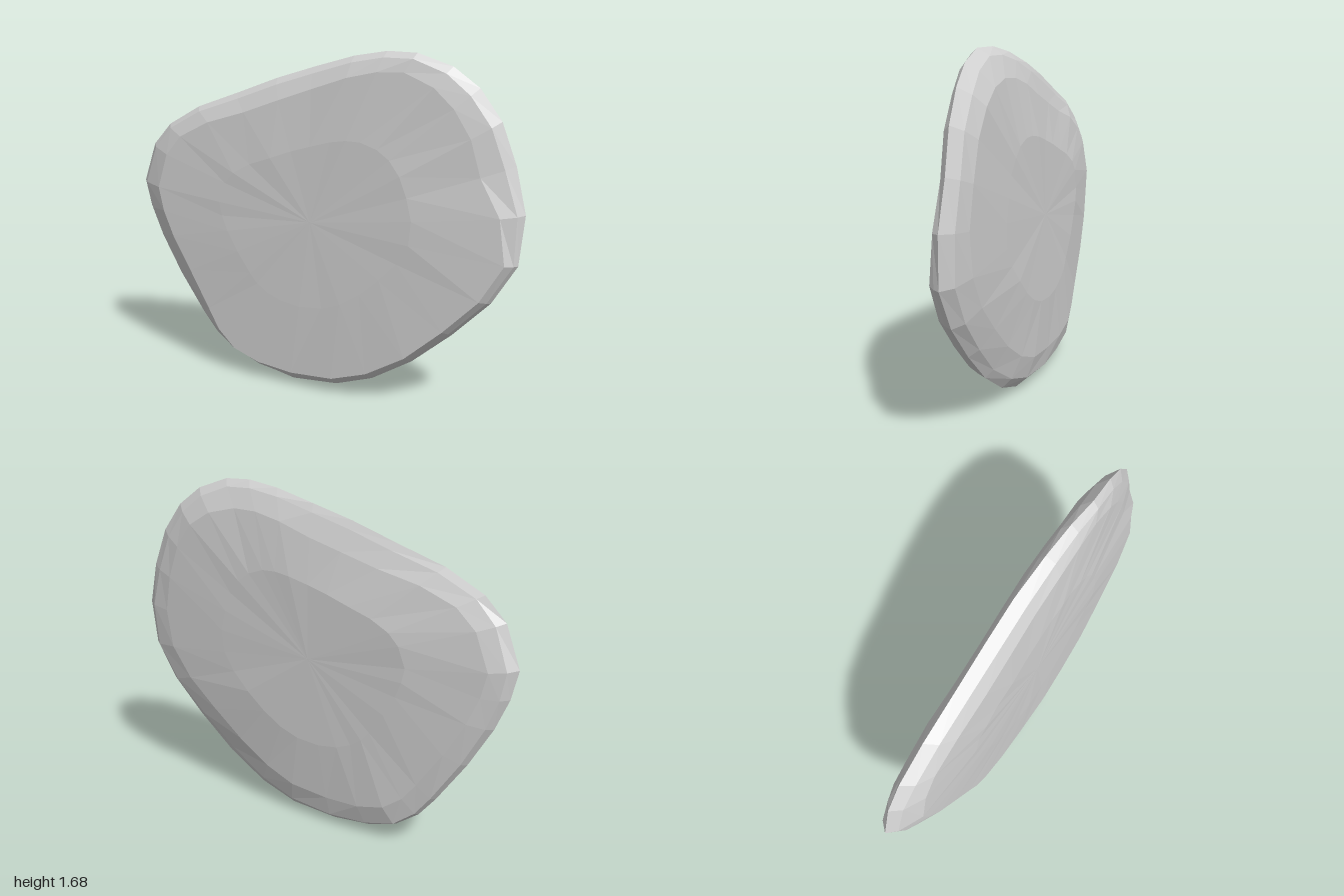
import * as THREE from 'three';

// Outline of the slab's rim, counter-clockwise from the bottom
const outline = [
  [-0.12, 0], [0.12, 0.02], [0.31, 0.09], [0.51, 0.22], [0.7, 0.39], [0.87, 0.57], [0.98, 0.76],
  [1, 0.99], [0.95, 1.2], [0.88, 1.39], [0.78, 1.53], [0.66, 1.62], [0.5, 1.675], [0.36, 1.68],
  [0.2, 1.655], [0, 1.6], [-0.2, 1.54], [-0.42, 1.46], [-0.65, 1.38], [-0.83, 1.28], [-0.93, 1.17],
  [-1, 0.97], [-0.97, 0.83], [-0.91, 0.68], [-0.8, 0.48], [-0.66, 0.27], [-0.58, 0.17],
  [-0.47, 0.09], [-0.32, 0.03],
];
const n = outline.length;
const centre = [0, 0.87];
const slope = 0.243; // the slab is turned, so its right side comes forward

// Edge profiles around the rim. at: outline point; then inset and depth pairs
// for two back bevels, the rim itself and two front bevels
const profiles = [
  { at: 0, p: [0.15, -0.1, 0.05, -0.075, 0, -0.01, 0.03, 0.04, 0.07, 0.085] },
  { at: 3, p: [0.15, -0.07, 0.04, -0.03, 0, 0, 0.02, 0.04, 0.05, 0.085] },
  { at: 6, p: [0.15, -0.075, 0.04, -0.05, 0, 0, 0.02, 0.03, 0.06, 0.065] },
  { at: 8, p: [0.13, -0.08, 0.05, -0.06, 0, -0.02, 0.05, 0.02, 0.16, 0.05] },
  { at: 10, p: [0.13, -0.08, 0.05, -0.05, 0, 0, 0.05, 0.035, 0.14, 0.06] },
  { at: 12, p: [0.15, -0.065, 0.04, -0.02, 0, 0.025, 0.03, 0.055, 0.1, 0.075] },
  { at: 15, p: [0.15, -0.075, 0.04, -0.04, 0, -0.02, 0.03, 0.04, 0.1, 0.075] },
  { at: 19, p: [0.13, -0.075, 0.04, -0.04, 0, -0.02, 0.03, 0.035, 0.11, 0.075] },
  { at: 21, p: [0.13, -0.085, 0.05, -0.06, 0, -0.015, 0.03, 0.03, 0.13, 0.08] },
  { at: 24, p: [0.12, -0.1, 0.03, -0.07, 0, -0.03, 0.03, 0.03, 0.12, 0.085] },
  { at: 27, p: [0.12, -0.115, 0.02, -0.09, 0, -0.05, 0.03, 0.02, 0.06, 0.085] },
];

// Blend the two profiles on either side of outline point i
function profileAt(i) {
  let k = profiles.length - 1;
  while (profiles[k].at > i) k--;
  const from = profiles[k];
  const to = profiles[(k + 1) % profiles.length];
  const span = (to.at - from.at + n) % n;
  const t = (i - from.at) / span;
  return from.p.map((v, q) => v + (to.p[q] - v) * t);
}

function seeded(seed) {
  return () => {
    seed = (seed * 16807) % 2147483647;
    return seed / 2147483647 - 0.5;
  };
}

function stoneGeometry() {
  const rand = seeded(77);
  const ringCount = 7; // back core, five edge rings, front core
  const positions = [];
  const index = [];

  for (let ring = 0; ring < ringCount; ring++) {
    const core = ring === 0 || ring === ringCount - 1;
    outline.forEach(([x, y], i) => {
      const dx = x - centre[0];
      const dy = y - centre[1];
      const p = profileAt(i);
      const s = core ? 0.5 : 1 - p[(ring - 1) * 2] / Math.hypot(dx, dy);
      const px = centre[0] + dx * s;
      let z = p[ring * 2 - 1];
      if (ring === 0) z = -0.112 + 0.03 * px;
      if (ring === ringCount - 1) z = 0.098;
      const rough = ring === 3 ? 0 : 0.005;
      positions.push(px, centre[1] + dy * s, px * slope + z + rand() * rough);
    });
  }

  // Bands between neighbouring rings
  for (let k = 0; k < ringCount - 1; k++) {
    for (let i = 0; i < n; i++) {
      const j = (i + 1) % n;
      const a = k * n + i, b = k * n + j, c = b + n, d = a + n;
      index.push(a, b, c, a, c, d);
    }
  }

  // Middle of the broad back and front faces
  const back = ringCount * n;
  const front = back + 1;
  const last = (ringCount - 1) * n;
  positions.push(centre[0], centre[1], -0.112, centre[0], centre[1], 0.1);
  for (let i = 0; i < n; i++) {
    const j = (i + 1) % n;
    index.push(j, i, back, last + i, last + j, front);
  }

  const indexed = new THREE.BufferGeometry();
  indexed.setAttribute('position', new THREE.Float32BufferAttribute(positions, 3));
  indexed.setIndex(index);
  const geometry = indexed.toNonIndexed();
  geometry.computeVertexNormals();
  return geometry;
}

export function createModel() {
  const group = new THREE.Group();
  group.name = 'flatStone';
  const material = new THREE.MeshStandardMaterial({ color: 0xd2d2d2, flatShading: true });
  material.name = 'stone grey';
  const slab = new THREE.Mesh(stoneGeometry(), material);
  slab.name = 'stoneSlab';
  group.add(slab);
  return group;
}
